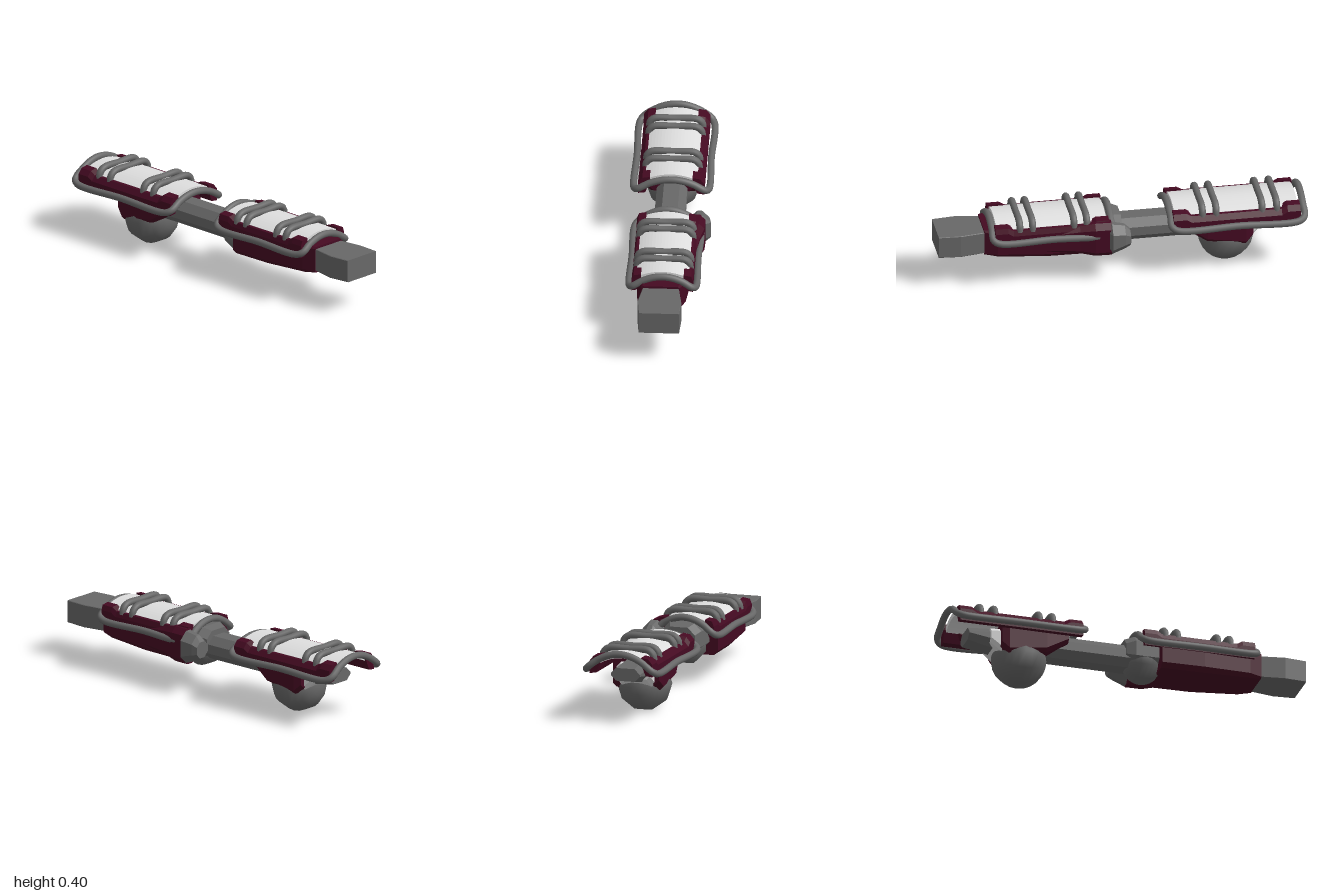
import * as THREE from 'three';

const grey = new THREE.MeshStandardMaterial({ color: 0x686868 });
grey.name = 'steel grey';
const maroon = new THREE.MeshStandardMaterial({ color: 0x450a22 });
maroon.name = 'dark maroon';
const white = new THREE.MeshStandardMaterial({ color: 0xdedede });
white.name = 'off white';

// Octagonal section as [z, y] points, with corners cut by c
const oct = (z0, z1, y0, y1, c) => [
  [z0 + c, y1], [z1 - c, y1], [z1, y1 - c], [z1, y0 + c],
  [z1 - c, y0], [z0 + c, y0], [z0, y0 + c], [z0, y1 - c],
];

// Faceted solid through sections [x, points] with closed ends
function loft(sections) {
  const pos = [];
  const rings = sections.map(([x, pts]) => pts.map(([z, y]) => [x, y, z]));
  const tri = (a, b, c) => pos.push(...a, ...b, ...c);
  const n = rings[0].length;
  for (let s = 0; s < rings.length - 1; s++) {
    const a = rings[s], b = rings[s + 1];
    for (let i = 0; i < n; i++) {
      const j = (i + 1) % n;
      tri(a[i], a[j], b[j]);
      tri(a[i], b[j], b[i]);
    }
  }
  const first = rings[0], last = rings[rings.length - 1];
  for (let i = 1; i < n - 1; i++) {
    tri(first[0], first[i + 1], first[i]);
    tri(last[0], last[i], last[i + 1]);
  }
  const g = new THREE.BufferGeometry();
  g.setAttribute('position', new THREE.Float32BufferAttribute(pos, 3));
  g.computeVertexNormals();
  return g;
}

// Extrude a [z, y] outline along x
function extrudeX(pts, x0, x1) {
  const shape = new THREE.Shape(pts.map(([z, y]) => new THREE.Vector2(-z, y)));
  return new THREE.ExtrudeGeometry(shape, { depth: x1 - x0, bevelEnabled: false })
    .rotateY(Math.PI / 2).translate(x0, 0, 0);
}

function add(parent, name, geometry, material) {
  const mesh = new THREE.Mesh(geometry, material);
  mesh.name = name;
  parent.add(mesh);
  return mesh;
}

// Ball with its poles on x and a flat facet underneath
const ball = (r, sides, x, y, z) => new THREE.SphereGeometry(r, sides, 12)
  .rotateY(Math.PI / sides).rotateZ(Math.PI / 2).translate(x, y, z);

const tube = (pts, closed, segments) => new THREE.TubeGeometry(
  new THREE.CatmullRomCurve3(pts.map((p) => new THREE.Vector3(...p)), closed, 'centripetal'),
  segments, 0.019, 10, closed);

// Arched guard: white crown, maroon side plates, wraparound rail and cross bars
function guard(name, o) {
  const g = new THREE.Group();
  g.name = name;
  const { x0, x1, zc } = o;
  const outer = [], inner = [];
  for (let i = 0; i <= 16; i++) {
    const t = i / 8 - 1;
    outer.push([zc + 0.14 * t, 0.376 - 0.034 * t * t]);
    inner.unshift([zc + 0.14 * t, 0.35 - 0.045 * t * t]);
  }
  add(g, 'crown', extrudeX([...outer, ...inner], x0 + 0.01, x1 - 0.01), white);

  for (const s of [-1, 1]) {
    const wall = [[0.115, 0.345], [0.155, 0.338], [o.half, 0.31], [o.half, 0.26], [0.14, 0.265], [0.115, 0.31]];
    const section = (dy) => wall.map(([z, y]) => [zc + s * z, y + (y > 0.3 ? dy : 0)]);
    const rings = [[x0, 0.018], [x0 + 0.07, 0.018], [x0 + 0.1, 0], [x1 - 0.1, 0], [x1 - 0.07, 0.018], [x1, 0.018]]
      .map(([x, dy]) => [x, s > 0 ? section(dy) : section(dy).reverse()]);
    add(g, 'sidePlate', loft(rings), maroon);
  }

  // Closed rail arching over both ends
  const [r0, r1] = o.rail, w = o.railHalf, rail = [];
  const ts = [-1, -0.9, -0.6, -0.3, 0, 0.3, 0.6, 0.9, 1];
  const arch = (x, inward, h, dir) => ts.forEach((t) => {
    const u = t * dir;
    rail.push([x + (Math.abs(u) === 1 ? inward : 0), 0.28 + h * (1 - u * u), zc + w * u]);
  });
  arch(r0, 0.03, o.heights[0], -1);
  rail.push([(r0 + r1) / 2, 0.28, zc - w]);
  arch(r1, -0.03, o.heights[1], 1);
  rail.push([(r0 + r1) / 2, 0.28, zc + w]);
  add(g, 'rail', tube(rail, true, 160), grey);

  for (const x of o.bars) {
    add(g, 'crossBar', tube([
      [x, 0.325, zc - 0.145], [x, 0.355, zc - 0.14], [x, 0.378, zc - 0.115], [x, 0.38, zc],
      [x, 0.378, zc + 0.115], [x, 0.355, zc + 0.14], [x, 0.325, zc + 0.145],
    ], false, 28), grey);
  }
  return g;
}

export function createModel() {
  const model = new THREE.Group();
  model.name = 'mechanicalArm';

  // Central shaft
  add(model, 'shaft', loft([
    [-0.88, oct(-0.08, 0.085, 0.21, 0.28, 0.03)],
    [-0.68, oct(-0.08, 0.085, 0.17, 0.3, 0.04)],
    [0.1, oct(-0.08, 0.085, 0.17, 0.3, 0.04)],
  ]), grey);

  // Upper joint
  const upper = new THREE.Group();
  upper.name = 'upperJoint';
  model.add(upper);
  add(upper, 'jointBall', ball(0.149, 10, -0.58, 0.142, 0.008), grey);
  add(upper, 'jointHousing', loft([
    [-0.71, oct(-0.125, 0.135, 0.17, 0.3, 0.02)],
    [-0.67, oct(-0.14, 0.148, 0.13, 0.3, 0.02)],
    [-0.46, oct(-0.135, 0.145, 0.16, 0.3, 0.02)],
    [-0.33, oct(-0.11, 0.12, 0.24, 0.3, 0.02)],
  ]), maroon);
  add(upper, 'housingLiner', loft([
    [-0.76, oct(-0.09, 0.1, 0.2, 0.28, 0.02)],
    [-0.7, oct(-0.1, 0.11, 0.15, 0.28, 0.02)],
  ]), white);

  model.add(guard('upperGuard', {
    x0: -0.96, x1: -0.27, zc: 0.005, half: 0.178, rail: [-0.98, -0.26], railHalf: 0.2,
    heights: [0.098, 0.075], bars: [-0.835, -0.755, -0.505, -0.43],
  }));

  // Elbow and forearm
  add(model, 'elbowBall', ball(0.112, 8, 0.11, 0.219, 0.005), grey);
  add(model, 'elbowCollar', loft([
    [0.0, oct(-0.09, 0.09, 0.19, 0.33, 0.04)],
    [0.05, oct(-0.11, 0.11, 0.18, 0.345, 0.04)],
    [0.19, oct(-0.11, 0.11, 0.18, 0.335, 0.04)],
  ]), grey);
  add(model, 'forearm', loft([
    [0.18, oct(-0.145, 0.16, 0.15, 0.33, 0.025)],
    [0.42, oct(-0.145, 0.16, 0.153, 0.33, 0.025)],
    [0.68, oct(-0.12, 0.14, 0.165, 0.325, 0.02)],
    [0.75, oct(-0.09, 0.115, 0.175, 0.32, 0.008)],
  ]), maroon);

  model.add(guard('forearmGuard', {
    x0: 0.08, x1: 0.7, zc: 0.005, half: 0.165, rail: [0.065, 0.71], railHalf: 0.178,
    heights: [0.092, 0.077], bars: [0.2, 0.27, 0.495, 0.565],
  }));

  // Pod on the back of the elbow
  add(model, 'podShell', loft([
    [0.07, oct(-0.198, -0.1, 0.155, 0.35, 0.03)],
    [0.16, oct(-0.195, -0.1, 0.155, 0.35, 0.03)],
    [0.24, oct(-0.175, -0.1, 0.17, 0.335, 0.025)],
    [0.42, oct(-0.15, -0.1, 0.18, 0.31, 0.02)],
  ]), maroon);
  add(model, 'podCap', loft([
    [-0.03, oct(-0.205, -0.12, 0.21, 0.3, 0.025)],
    [0.0, oct(-0.215, -0.11, 0.19, 0.33, 0.04)],
    [0.07, oct(-0.226, -0.1, 0.165, 0.345, 0.045)],
    [0.085, oct(-0.2, -0.1, 0.18, 0.33, 0.03)],
  ]), grey);

  // Blunt hand block
  add(model, 'handBlock', loft([
    [0.7, oct(-0.08, 0.1, 0.185, 0.308, 0.003)],
    [0.88, oct(-0.106, 0.13, 0.182, 0.308, 0.003)],
    [1.0, oct(-0.1, 0.118, 0.184, 0.308, 0.003)],
  ]), grey);

  return model;
}
